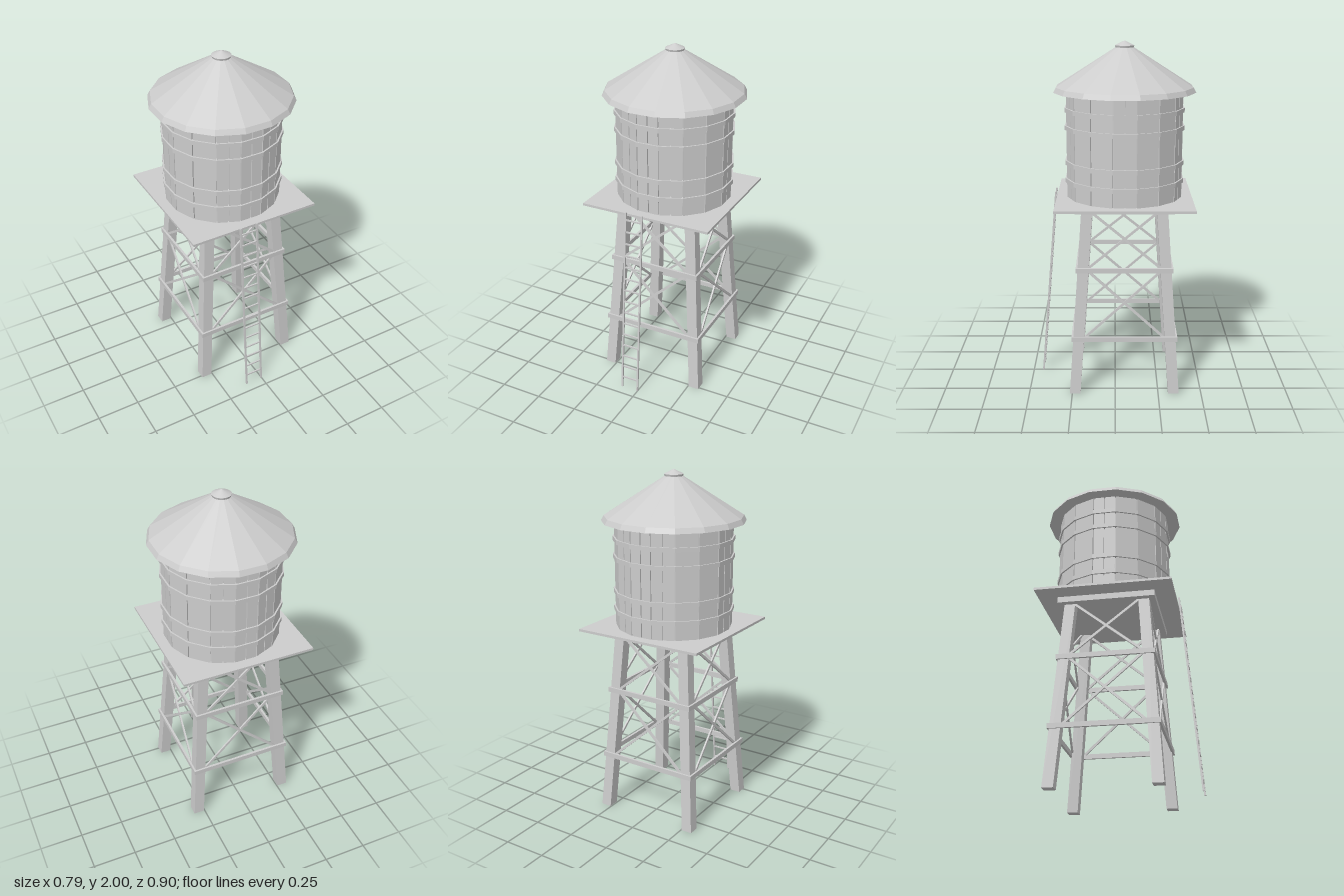
import * as THREE from 'three';

const grey = new THREE.MeshStandardMaterial({ color: 0xcccccc });
grey.name = 'light grey';
grey.flatShading = true;

const SIDES = 16;
const STEP = (Math.PI * 2) / SIDES;

function add(parent, name, geometry, x = 0, y = 0, z = 0) {
  const mesh = new THREE.Mesh(geometry, grey);
  mesh.name = name;
  mesh.position.set(x, y, z);
  parent.add(mesh);
  return mesh;
}

const box = (w, h, d) => new THREE.BoxGeometry(w, h, d);

// Square bar between two points
function bar(parent, name, a, b, width, depth = width) {
  const dir = b.clone().sub(a);
  const mesh = add(parent, name, box(width, dir.length(), depth));
  mesh.position.copy(a).add(b).multiplyScalar(0.5);
  mesh.quaternion.setFromUnitVectors(new THREE.Vector3(0, 1, 0), dir.normalize());
  return mesh;
}

// Sixteen-sided drum with a flat face towards each axis
function drum(rTop, rBottom, height, open = false) {
  return new THREE.CylinderGeometry(rTop, rBottom, height, SIDES, 1, open).rotateY(STEP / 2);
}

// Drum outline with a narrow groove at every corner and at some face centres
function staveOutline(radius) {
  const shape = new THREE.Shape();
  const apothem = radius * Math.cos(STEP / 2);
  const half = 0.003, depth = 0.012;
  const points = [];
  const groove = (angle, r, slope) => {
    const at = (side, rr) => {
      const s = side * half;
      points.push([
        rr * Math.cos(angle) - s * Math.sin(angle),
        rr * Math.sin(angle) + s * Math.cos(angle)]);
    };
    at(-1, r - slope); at(-1, r - depth); at(1, r - depth); at(1, r - slope);
  };
  const plain = [1, 2, 6, 7, 9, 10, 14, 15].filter((k) => k !== 0);
  for (let k = 0; k < SIDES; k++) {
    if (!plain.includes(k)) groove(k * STEP, apothem, 0);
    groove((k + 0.5) * STEP, radius, half * Math.tan(STEP / 2));
  }
  points.forEach(([x, y], i) => (i ? shape.lineTo(x, y) : shape.moveTo(x, y)));
  shape.closePath();
  return shape;
}

function buildTank(tower) {
  const staves = new THREE.ExtrudeGeometry(staveOutline(0.334), { depth: 0.61, bevelEnabled: false });
  staves.rotateX(-Math.PI / 2);
  add(tower, 'tankStaves', staves, 0, 1.118, 0);
  for (const y of [1.22, 1.323, 1.522, 1.622]) {
    add(tower, 'tankHoop', drum(0.343, 0.343, 0.025), 0, y, 0);
  }
}

function buildRoof(tower) {
  add(tower, 'roofRim', drum(0.39, 0.405, 0.028), 0, 1.734, 0);
  add(tower, 'roofCone', drum(0.04, 0.39, 0.222, true), 0, 1.859, 0);
  // Round finial at the peak
  add(tower, 'roofCapRim', new THREE.CylinderGeometry(0.054, 0.05, 0.014, 32), 0, 1.967, 0);
  add(tower, 'roofCap', new THREE.ConeGeometry(0.054, 0.026, 32), 0, 1.987, 0);
}

// Leg geometry: centre offset and outer face at a given height
const LEG_TOP = 1.08;
const LEG_WIDTH = 0.062;
const legCentre = (y) => 0.286 - (0.074 * y) / LEG_TOP;
const legOuter = (y) => legCentre(y) + LEG_WIDTH / 2;

function buildFrame(tower) {
  add(tower, 'platform', box(0.775, 0.014, 0.775), 0, 1.115, 0);
  add(tower, 'platformBase', box(0.556, 0.034, 0.556), 0, 1.091, 0);

  // Leaning legs, sheared so their feet stay level
  for (const sx of [-1, 1]) for (const sz of [-1, 1]) {
    const geometry = box(LEG_WIDTH, LEG_TOP, LEG_WIDTH).translate(0, LEG_TOP / 2, 0);
    const p = geometry.attributes.position;
    for (let i = 0; i < p.count; i++) {
      const c = legCentre(p.getY(i));
      p.setX(i, p.getX(i) + sx * c);
      p.setZ(i, p.getZ(i) + sz * c);
    }
    geometry.computeVertexNormals();
    add(tower, 'leg', geometry);
  }

  // The same bracing on all four sides
  for (let side = 0; side < 4; side++) {
    const face = new THREE.Group();
    face.name = 'sideBracing';
    face.rotation.y = (side * Math.PI) / 2;
    tower.add(face);
    for (const y of [0.335, 0.742]) {
      const out = legOuter(y) + 0.01;
      add(face, 'crossBeam', box(out * 2, 0.028, 0.014), 0, y, out - 0.007);
    }
    for (const [low, high, xLow, xHigh] of [[0.345, 0.735, 0.225, 0.205], [0.75, 1.075, 0.21, 0.185]]) {
      for (const s of [-1, 1]) {
        bar(face, 'diagonalBrace',
          new THREE.Vector3(-s * xLow, low, legOuter(low) - 0.006),
          new THREE.Vector3(s * xHigh, high, legOuter(high) - 0.006), 0.014, 0.01);
      }
    }
  }
}

function buildLadder(model) {
  const ladder = new THREE.Group();
  ladder.name = 'ladder';
  model.add(ladder);
  const zAt = (y) => 0.441 - (0.096 * y) / 1.13;
  for (const x of [-0.104, -0.002]) {
    bar(ladder, 'ladderRail', new THREE.Vector3(x, 0.001, zAt(0)), new THREE.Vector3(x, 1.132, zAt(1.132)), 0.01);
  }
  for (let i = 0; i < 15; i++) {
    const y = 0.07 + i * 0.0727;
    add(ladder, 'ladderRung', box(0.1, 0.008, 0.008), -0.053, y, zAt(y));
  }
}

export function createModel() {
  const model = new THREE.Group();
  model.name = 'waterTower';
  const tower = new THREE.Group();
  tower.name = 'tower';
  tower.position.z = -0.053;
  model.add(tower);
  buildTank(tower);
  buildRoof(tower);
  buildFrame(tower);
  buildLadder(model);
  return model;
}
